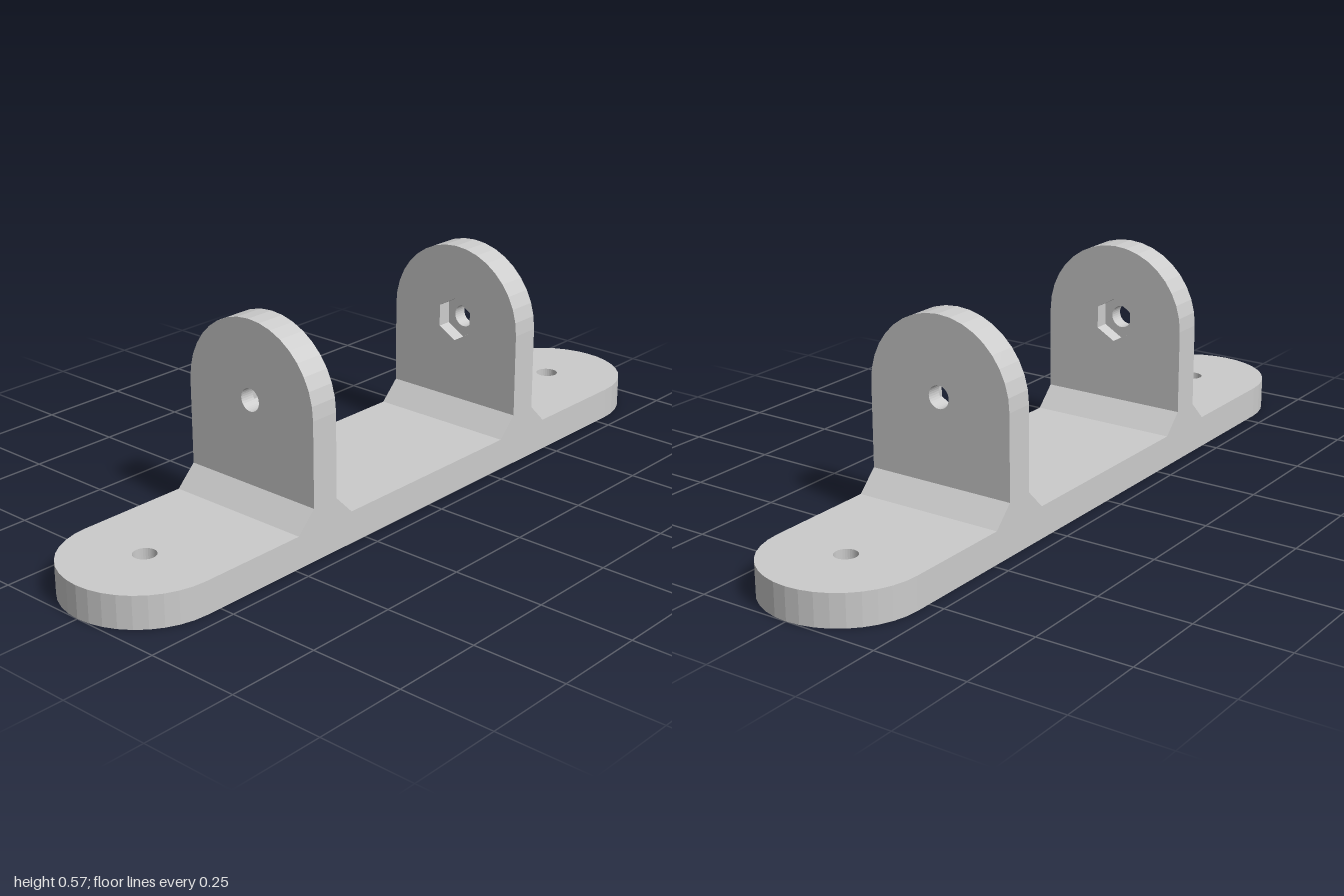
import * as THREE from 'three';

const R = 0.208;          // half depth, and radius of every rounded end
const BASE_H = 0.086;     // base plate thickness
const FOOT_TOP = 0.14;    // top of the chamfered feet
const PIVOT_Y = 0.365;    // height of the pivot holes
const IN_X = 0.353, OUT_X = 0.433; // faces of an upright
const RECESS = 0.04;      // depth of the hexagonal nut pocket

const material = new THREE.MeshStandardMaterial({ color: 0xcccccc, flatShading: true });

function extrude(shape, depth) {
  return new THREE.ExtrudeGeometry(shape, { depth, bevelEnabled: false, curveSegments: 9 });
}

function addMesh(parent, name, geometry) {
  const mesh = new THREE.Mesh(geometry, material);
  mesh.name = name;
  parent.add(mesh);
}

// Regular polygon hole with a corner pointing straight up
function polygonHole(x, y, radius, sides) {
  const points = [];
  for (let i = 0; i < sides; i++) {
    const a = Math.PI / 2 - (i / sides) * Math.PI * 2;
    points.push(new THREE.Vector2(x + radius * Math.cos(a), y + radius * Math.sin(a)));
  }
  return new THREE.Path(points).closePath();
}

// One layer of an upright: arched outline with a hole, extruded along +x
function uprightLayer(hole, x, thickness) {
  const shape = new THREE.Shape();
  shape.moveTo(-R, FOOT_TOP);
  shape.lineTo(R, FOOT_TOP);
  shape.absarc(0, PIVOT_Y, R, 0, Math.PI, false);
  shape.closePath();
  shape.holes.push(hole);
  return extrude(shape, thickness).rotateY(Math.PI / 2).translate(x, 0, 0);
}

export function createModel() {
  const model = new THREE.Group();
  model.name = 'pivotBracket';

  // Base plate: stadium outline with a screw hole near each end
  const outline = new THREE.Shape();
  const endX = 1 - R;
  outline.absarc(endX, 0, R, -Math.PI / 2, Math.PI / 2, false);
  outline.absarc(-endX, 0, R, Math.PI / 2, Math.PI * 1.5, false);
  outline.closePath();
  for (const s of [-1, 1]) outline.holes.push(polygonHole(s * 0.79, 0, 0.03, 32));
  addMesh(model, 'basePlate', extrude(outline, BASE_H).rotateX(-Math.PI / 2));

  // Two identical lugs, the second turned half way round
  ['leftLug', 'rightLug'].forEach((name, i) => {
    const lug = new THREE.Group();
    lug.name = name;
    lug.rotation.y = i * Math.PI;

    // Chamfered foot
    const c = FOOT_TOP - BASE_H;
    const foot = new THREE.Shape([
      new THREE.Vector2(IN_X - c, BASE_H),
      new THREE.Vector2(OUT_X + c, BASE_H),
      new THREE.Vector2(OUT_X, FOOT_TOP),
      new THREE.Vector2(IN_X, FOOT_TOP),
    ]);
    addMesh(lug, 'foot', extrude(foot, R * 2).translate(0, 0, -R));

    // Inner layer holds the nut pocket, outer layer the round bolt hole
    addMesh(lug, 'nutPocketLayer',
      uprightLayer(polygonHole(0, PIVOT_Y, 0.06, 6), IN_X, RECESS));
    addMesh(lug, 'boltHoleLayer',
      uprightLayer(polygonHole(0, PIVOT_Y, 0.03, 32), IN_X + RECESS, OUT_X - IN_X - RECESS));
    model.add(lug);
  });

  return model;
}
